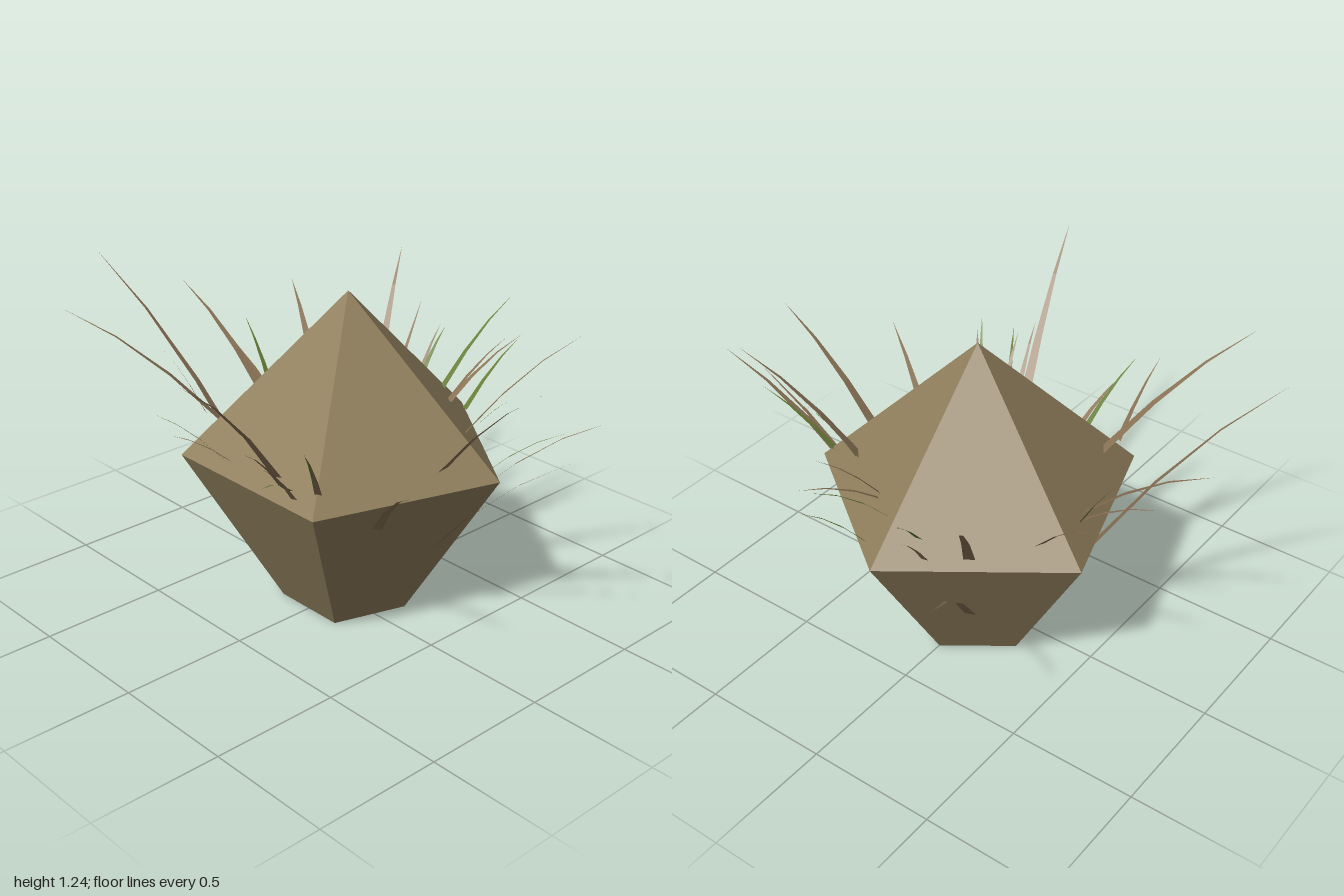
import * as THREE from 'three';

const bodyBrown = new THREE.MeshStandardMaterial({ color: 0x8f7e5b });
bodyBrown.name = 'earthBrown';
bodyBrown.flatShading = true;
const dryBrown = new THREE.MeshStandardMaterial({ color: 0x8a7356, side: THREE.DoubleSide });
dryBrown.name = 'dryBrown';
const leafGreen = new THREE.MeshStandardMaterial({ color: 0x667c34, side: THREE.DoubleSide });
leafGreen.name = 'leafGreen';

const CENTRE = 0.045;

// Flat tapering ribbon that starts steep and droops outward to a point
function bladeGeometry(base, tip, width) {
  const a = new THREE.Vector3(...base);
  const b = new THREE.Vector3(...tip);
  const control = a.clone().lerp(b, 0.5);
  control.y += 0.12 * a.distanceTo(b);
  const curve = new THREE.QuadraticBezierCurve3(a, control, b);
  const side = new THREE.Vector3(b.z - a.z, 0, a.x - b.x).normalize();
  const steps = 3;
  const positions = [];
  const rows = [];
  for (let i = 0; i <= steps; i++) {
    const t = i / steps;
    const p = curve.getPoint(t);
    const half = side.clone().multiplyScalar((width / 2) * (1 - t));
    rows.push([p.clone().sub(half), p.clone().add(half)]);
  }
  for (let i = 0; i < steps; i++) {
    const [l0, r0] = rows[i];
    const [l1, r1] = rows[i + 1];
    const corners = i < steps - 1 ? [l0, l1, r0, r0, l1, r1] : [l0, l1, r0];
    corners.forEach((v) => positions.push(v.x, v.y, v.z));
  }
  const geometry = new THREE.BufferGeometry();
  geometry.setAttribute('position', new THREE.Float32BufferAttribute(positions, 3));
  geometry.computeVertexNormals();
  return geometry;
}

// Each blade: base, tip
const longBlades = [
  [[-0.1, 0.45, -0.42], [-0.35, 1.24, -1.0]],
  [[0.025, 0.69, -0.45], [0.01, 1.05, -0.94]],
  [[-0.29, 0.72, -0.32], [-0.715, 1.17, -0.69]],
  [[0.28, 0.7, -0.44], [0.435, 1.0, -0.76]],
  [[0.33, 0.28, -0.18], [0.92, 0.87, -0.48]],
  [[0.44, 0.65, -0.26], [0.82, 1.12, -0.505]],
  [[0.1, 0.25, 0.33], [0.17, 0.85, 0.96]],
  [[0.18, 0.56, 0.51], [0.3, 0.97, 1.0]],
  [[0.06, 0.68, 0.47], [0.075, 1.1, 0.895]],
  [[0.27, 0.72, 0.37], [0.48, 1.16, 0.73]],
  [[-0.18, 0.5, 0.39], [-0.4, 0.84, 0.77]],
  [[-0.4, 0.68, 0.12], [-0.92, 1.22, 0.27]],
];
const shortBrown = [
  [[0.065, 0.68, -0.46], [0.065, 0.87, -0.77]],
  [[-0.34, 0.76, -0.36], [-0.5, 1.06, -0.42]],
  [[0.42, 0.72, 0.14], [0.775, 0.94, 0.205]],
  [[0.42, 0.74, 0.15], [0.64, 0.97, 0.24]],
  [[0.54, 0.66, -0.145], [0.735, 0.88, -0.195]],
  [[-0.41, 0.66, -0.125], [-0.645, 0.82, -0.18]],
  [[-0.42, 0.67, 0.165], [-0.66, 0.9, 0.245]],
  [[-0.43, 0.65, 0.24], [-0.62, 0.85, 0.3]],
  [[-0.39, 0.68, 0.32], [-0.53, 0.87, 0.44]],
];
const shortGreen = [
  [[0.08, 0.68, -0.47], [0.095, 0.95, -0.65]],
  [[0.215, 0.63, 0.52], [0.3, 0.87, 0.82]],
  [[0.27, 0.71, 0.38], [0.335, 0.89, 0.53]],
  [[0.505, 0.74, 0.04], [0.855, 1.04, 0.07]],
  [[0.575, 0.65, 0.1], [0.825, 0.9, 0.15]],
  [[0.51, 0.71, -0.095], [0.705, 0.9, -0.135]],
  [[-0.42, 0.66, -0.15], [-0.68, 0.9, -0.22]],
  [[-0.41, 0.66, 0.2], [-0.68, 0.82, 0.365]],
  [[-0.38, 0.67, 0.31], [-0.545, 0.92, 0.425]],
];

export function createModel() {
  const group = new THREE.Group();
  group.name = 'spikyMound';

  // Five-sided body: tapered lower part and pointed top
  const lower = new THREE.CylinderGeometry(0.62, 0.25, 0.62, 5, 1, false, Math.PI / 2);
  const upper = new THREE.ConeGeometry(0.62, 0.615, 5, 1, true, Math.PI / 2);
  const parts = [['lowerBody', lower, 0.31], ['pointedTop', upper, 0.9275]];
  for (const [name, geometry, y] of parts) {
    const mesh = new THREE.Mesh(geometry, bodyBrown);
    mesh.name = name;
    mesh.position.set(CENTRE, y, 0);
    group.add(mesh);
  }

  // Grass blades radiating from the body
  const sets = [
    ['longBlade', longBlades, dryBrown, 0.042],
    ['shortDryBlade', shortBrown, dryBrown, 0.026],
    ['greenBlade', shortGreen, leafGreen, 0.027],
  ];
  for (const [name, list, material, width] of sets) {
    const cluster = new THREE.Group();
    cluster.name = name + 's';
    list.forEach(([base, tip]) => {
      const mesh = new THREE.Mesh(bladeGeometry(base, tip, width), material);
      mesh.name = name;
      cluster.add(mesh);
    });
    group.add(cluster);
  }
  return group;
}
